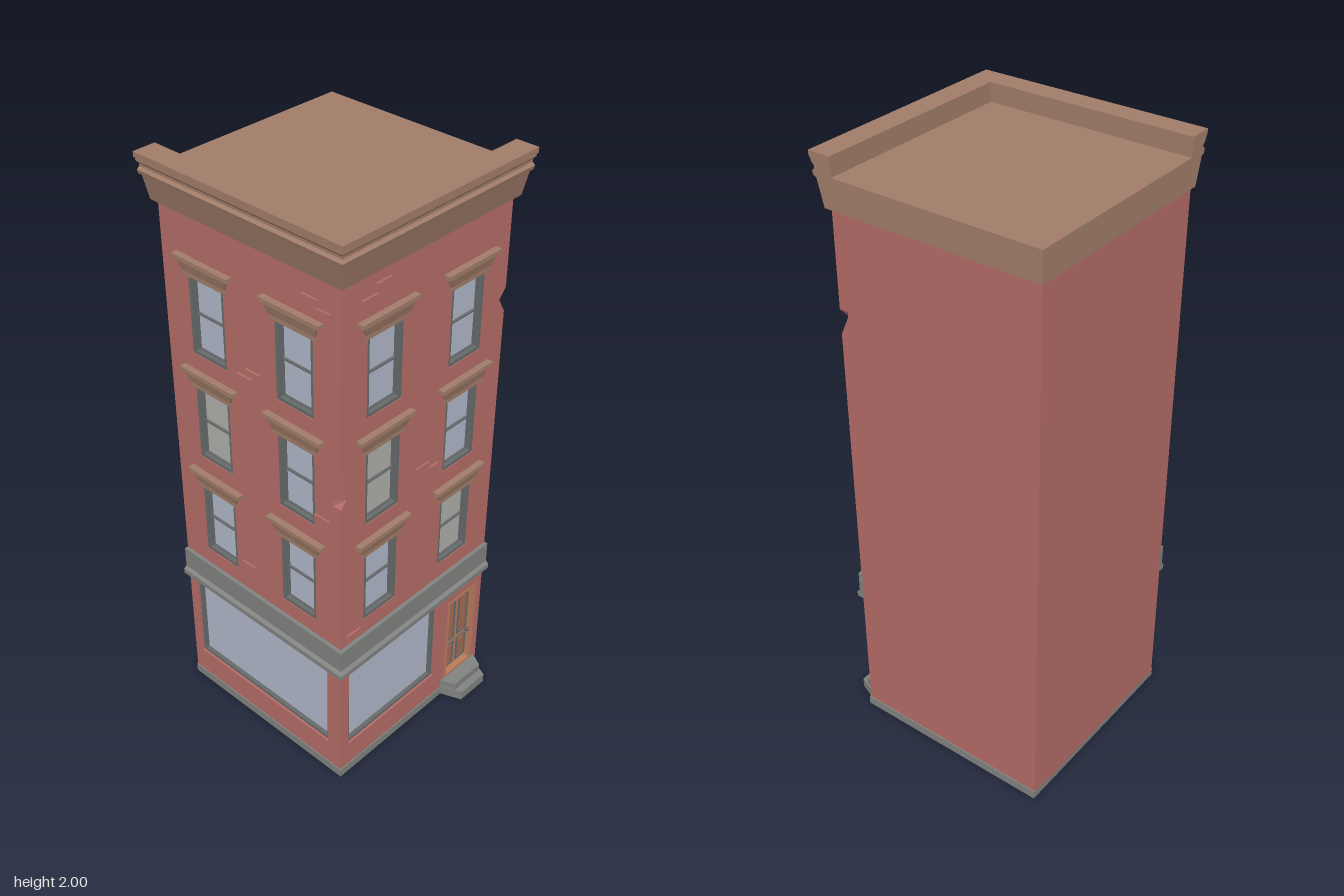
import * as THREE from 'three';

const mat = (color) => new THREE.MeshStandardMaterial({ color, flatShading: true });
const M = {
  brick: mat(0xb36b66), trim: mat(0xa07c68), stone: mat(0x80827f), frame: mat(0x666a6a),
  glass: mat(0xb0b6c8), blind: mat(0xadada9), door: mat(0xb87a5c), panel: mat(0xa86a50), knob: mat(0x555555),
};

// Building limits, wall thickness of the two street walls
const X0 = -0.315, X1 = 0.378, Z0 = -0.385, Z1 = 0.31, T = 0.03, TOP = 1.845;

function add(parent, name, geometry, material, x = 0, y = 0, z = 0) {
  const mesh = new THREE.Mesh(geometry, material);
  mesh.name = name;
  mesh.position.set(x, y, z);
  parent.add(mesh);
  return mesh;
}

// Box given by its limits
function block(parent, name, material, x0, x1, y0, y1, z0, z1) {
  return add(parent, name, new THREE.BoxGeometry(x1 - x0, y1 - y0, z1 - z0), material,
    (x0 + x1) / 2, (y0 + y1) / 2, (z0 + z1) / 2);
}

const polygon = (pts) => new THREE.Shape(pts.map(([x, y]) => new THREE.Vector2(x, y)));
const rect = ([x0, x1, y0, y1]) => [[x0, y0], [x1, y0], [x1, y1], [x0, y1]];
const extrude = (shape, depth) => new THREE.ExtrudeGeometry(shape, { depth, bevelEnabled: false });

// Flat border around an opening
function border(parent, name, material, [x0, x1, y0, y1], w, depth, z) {
  const shape = polygon(rect([x0, x1, y0, y1]));
  shape.holes.push(polygon(rect([x0 + w, x1 - w, y0 + w, y1 - w])));
  add(parent, name, extrude(shape, depth), material, 0, 0, z);
}

// Wall slab with openings; chips are outline notches that run out to the corner at the back
function wall(parent, outline, openings, chips = []) {
  const shape = polygon(outline);
  openings.forEach((o) => shape.holes.push(polygon(rect(o))));
  const g = extrude(shape, T), p = g.attributes.position;
  for (let i = 0; i < p.count; i++) {
    for (const [x, y, edge] of chips) {
      if (p.getZ(i) < T / 2 && Math.abs(p.getX(i) - x) < 1e-4 && Math.abs(p.getY(i) - y) < 1e-4) p.setX(i, edge);
    }
  }
  g.computeVertexNormals();
  add(parent, 'brickWall', g, M.brick, 0, 0, -T);
}

// Moulding [offset from wall, height] along both street walls, mitred at the corner
function moulding(parent, name, material, profile) {
  const run = (length, mitreEnd) => {
    const g = extrude(polygon(profile), length), p = g.attributes.position;
    for (let i = 0; i < p.count; i++) {
      const atEnd = p.getZ(i) > length / 2;
      if (atEnd === mitreEnd) p.setZ(i, p.getZ(i) + (mitreEnd ? 1 : -1) * p.getX(i));
    }
    g.computeVertexNormals();
    return g;
  };
  add(parent, name + 'Front', run(X1 - X0, true), material, X1, 0, Z1).rotation.y = -Math.PI / 2;
  add(parent, name + 'Side', run(Z1 - Z0, false), material, X0, 0, Z1).rotation.y = Math.PI;
}

// Sash window with a flared hood
const W = 0.145, H = 0.262, ROWS = [0.63, 1.005, 1.38];
function sashWindow(parent, x, y, glass) {
  const g = new THREE.Group();
  g.name = 'sashWindow';
  g.position.set(x, y, 0);
  parent.add(g);
  const h = W / 2;
  block(g, 'pane', glass, -h, h, 0, H, -T, -0.022);
  border(g, 'outerFrame', M.frame, [-h, h, 0, H], 0.011, 0.022, -0.025);
  border(g, 'upperSash', M.frame, [-h + 0.01, h - 0.01, H / 2, H - 0.01], 0.005, 0.01, -0.024);
  border(g, 'lowerSash', M.frame, [-h + 0.01, h - 0.01, 0.01, H / 2 + 0.004], 0.005, 0.007, -0.024);
  // Hood: base strip, flared body, cap
  block(g, 'hoodBase', M.trim, -0.084, 0.084, H - 0.002, H + 0.012, 0, 0.007);
  const flare = new THREE.BoxGeometry(0.2, 0.034, 0.017), p = flare.attributes.position;
  for (let i = 0; i < p.count; i++) {
    if (p.getY(i) > 0) continue;
    p.setX(i, p.getX(i) * 0.86);
    if (p.getZ(i) > 0) p.setZ(i, -0.001);
  }
  flare.computeVertexNormals();
  add(g, 'hoodFlare', flare, M.trim, 0, H + 0.029, 0.0085);
  block(g, 'hoodCap', M.trim, -0.112, 0.112, H + 0.046, H + 0.06, 0, 0.021);
}

function shopWindow(parent, o) {
  block(parent, 'shopGlass', M.glass, o[0], o[1], o[2], o[3], -T, -0.022);
  border(parent, 'shopFrame', M.frame, o, 0.01, 0.017, -0.025);
}

// Bricks standing slightly proud of the wall
function looseBricks(parent, list) {
  for (const [x, y] of list) block(parent, 'looseBrick', M.brick, x - 0.029, x + 0.029, y - 0.011, y + 0.011, -0.005, 0.007);
}

// Door with two columns of panels
function door(parent, [x0, x1, y0, y1]) {
  block(parent, 'doorLeaf', M.door, x0, x1, y0, y1, -T, -0.02);
  border(parent, 'doorFrame', M.door, [x0, x1, y0, y1], 0.011, 0.024, -0.022);
  const mid = (x0 + x1) / 2;
  for (const cx of [mid - 0.033, mid + 0.033]) {
    for (const [a, b] of [[y0 + 0.022, 0.185], [0.205, y1 - 0.02]]) {
      border(parent, 'panelMoulding', M.frame, [cx - 0.025, cx + 0.025, a, b], 0.006, 0.005, -0.021);
      block(parent, 'doorPanel', M.panel, cx - 0.014, cx + 0.014, a + 0.012, b - 0.012, -0.021, -0.016);
    }
  }
  add(parent, 'doorKnob', new THREE.SphereGeometry(0.007, 10, 8), M.knob, x1 - 0.016, 0.195, -0.012);
}

// Step with a tapered plan
function step(parent, half, frontHalf, depth, y0, y1) {
  const g = extrude(polygon([[-half, 0], [half, 0], [frontHalf, -depth], [-frontHalf, -depth]]), y1 - y0);
  g.rotateX(-Math.PI / 2);
  add(parent, 'doorStep', g, M.stone, 0.275, y0, Z1);
}

export function createModel() {
  const model = new THREE.Group();
  model.name = 'cornerTownhouse';

  // Solid core, plinth and roof slab
  block(model, 'buildingCore', M.brick, X0 + T, X1, 0.02, TOP, Z0, Z1 - T);
  block(model, 'plinth', M.stone, X0 - 0.004, X1 + 0.004, 0, 0.03, Z0, Z1 + 0.004);
  block(model, 'roofSlab', M.trim, X0, X1, TOP, 1.94, Z0, Z1);

  const openings = (columns) => columns.flatMap((x) => ROWS.map((y) => [x - W / 2, x + W / 2, y, y + H]));

  // Front street wall
  const front = new THREE.Group();
  front.name = 'frontFacade';
  front.position.z = Z1;
  model.add(front);
  const shop = [-0.278, 0.142, 0.122, 0.474], doorway = [0.203, 0.35, 0.06, 0.412];
  const cols = [-0.142, 0.203];
  wall(front,
    [[X0, 0.02], [X1, 0.02], [X1, 1.465], [0.346, 1.508], [X1, 1.545], [X1, TOP], [X0, TOP], [X0, 1.27], [-0.292, 1.145], [X0, 1.12]],
    [...openings(cols), shop, doorway], [[0.346, 1.508, X1], [-0.292, 1.145, X0]]);
  cols.forEach((x, c) => ROWS.forEach((y, r) =>
    sashWindow(front, x, y, (c === 0 && r === 1) || (c === 1 && r === 0) ? M.blind : M.glass)));
  shopWindow(front, shop);
  door(front, doorway);
  looseBricks(front, [[-0.21, 1.752], [-0.158, 1.782], [0.03, 1.078], [0.075, 1.052], [-0.262, 0.605]]);

  // Side street wall, local x runs towards the front
  const side = new THREE.Group();
  side.name = 'sideFacade';
  side.position.x = X0;
  side.rotation.y = -Math.PI / 2;
  model.add(side);
  const sideShop = [-0.35, 0.255, 0.122, 0.474], sideCols = [-0.21, 0.135];
  wall(side, rect([Z0, Z1 - T, 0.02, TOP]), [...openings(sideCols), sideShop]);
  sideCols.forEach((x, c) => ROWS.forEach((y, r) => sashWindow(side, x, y, c === 0 && r === 1 ? M.blind : M.glass)));
  shopWindow(side, sideShop);
  looseBricks(side, [[0.2, 1.755], [0.245, 1.73], [-0.06, 1.39], [-0.025, 1.42], [0.24, 1.045], [-0.08, 0.675]]);

  // Shop fascia and roof cornice with parapet
  moulding(model, 'fascia', M.stone, [[-0.005, 0.475], [0.024, 0.475], [0.024, 0.492], [0.013, 0.5], [0.013, 0.575], [-0.005, 0.575]]);
  moulding(model, 'cornice', M.trim, [[-0.006, TOP], [0.026, TOP], [0.048, 1.928], [0.058, 1.932], [0.062, 1.945],
    [0.053, 1.952], [0.053, 1.96], [0.064, 1.972], [0.064, 1.98], [0.07, 1.984], [0.07, 2], [-0.006, 2]]);

  // Entrance steps
  step(model, 0.09, 0.06, 0.075, 0, 0.035);
  step(model, 0.088, 0.065, 0.05, 0.035, 0.062);
  return model;
}
